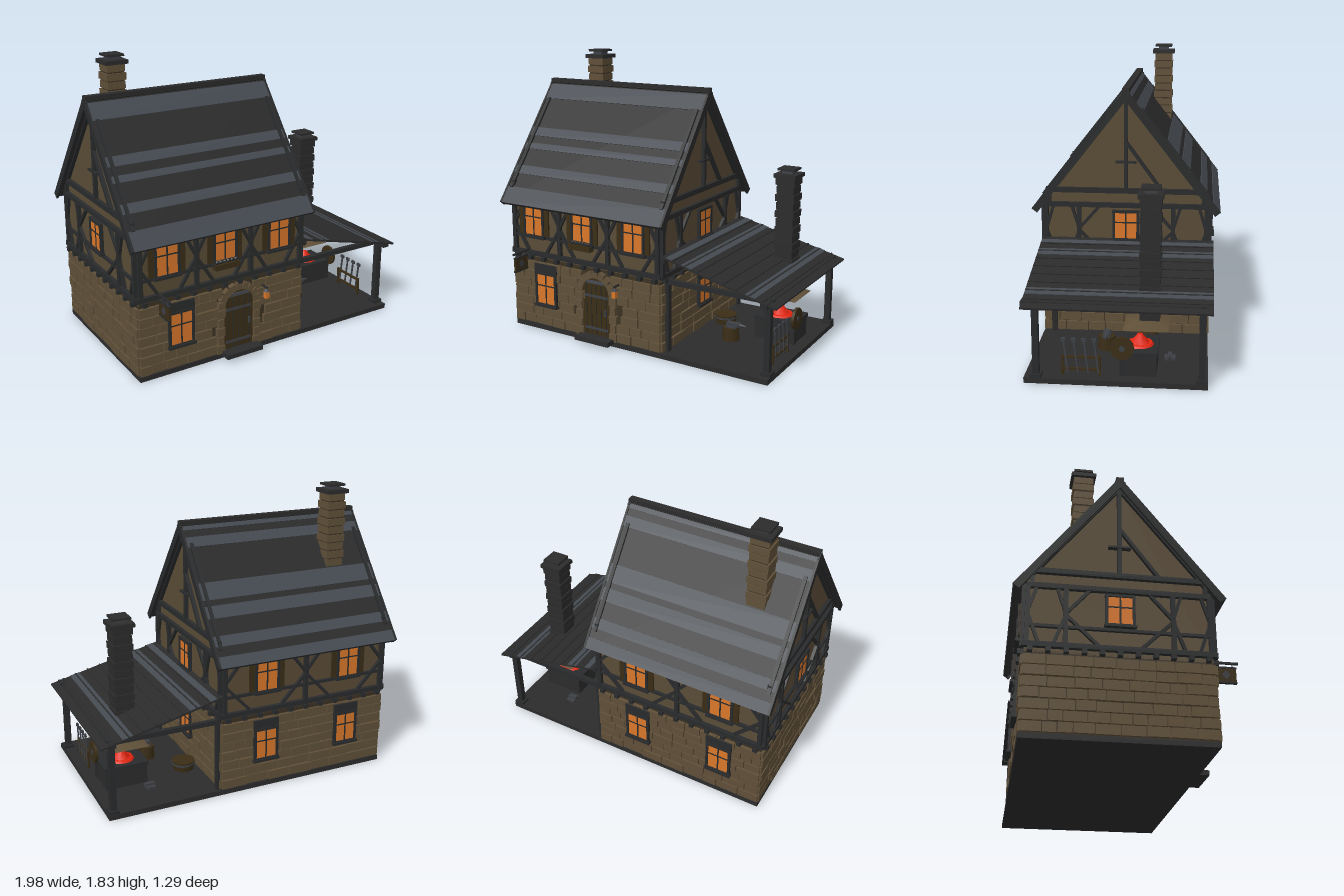
import * as THREE from 'three';

const mat = (name, color) => Object.assign(new THREE.MeshStandardMaterial({ color }), { name });
const M = {
  timber: mat('dark timber', 0x292a2b), slate: mat('dark slate', 0x2b2b2b), light: mat('light slate', 0x454a51),
  stone: mat('stone', 0x5f4f38), mortar: mat('mortar', 0x3b3123), plaster: mat('plaster', 0x594b36),
  wood: mat('brown wood', 0x3a2d16), glow: mat('window glow', 0xd9772a), fire: mat('fire', 0xe0240f),
  iron: mat('iron', 0x3c3f44),
};

let seed = 7;
const rnd = () => (seed = (seed * 16807) % 2147483647) / 2147483647;

function add(g, name, geo, m, x = 0, y = 0, z = 0, rx = 0, ry = 0, rz = 0) {
  const o = new THREE.Mesh(geo, m);
  o.name = name;
  o.position.set(x, y, z);
  o.rotation.set(rx, ry, rz);
  g.add(o);
  return o;
}
const box = (g, name, m, w, h, d, x, y, z, rx, ry, rz) => add(g, name, new THREE.BoxGeometry(w, h, d), m, x, y, z, rx, ry, rz);
const cyl = (g, name, m, r1, r2, h, n, x, y, z, rx, ry, rz) =>
  add(g, name, new THREE.CylinderGeometry(r1, r2, h, n), m, x, y, z, rx, ry, rz);
function group(parent, name, x = 0, y = 0, z = 0) {
  const g = new THREE.Group();
  g.name = name;
  g.position.set(x, y, z);
  parent.add(g);
  return g;
}
// Timber lying on a wall between two points of that wall
const beam = (g, x1, y1, x2, y2, w = 0.024, z = 0.012) =>
  box(g, 'wallTimber', M.timber, Math.hypot(x2 - x1, y2 - y1), w, 0.024, (x1 + x2) / 2, (y1 + y2) / 2, z, 0, 0, Math.atan2(y2 - y1, x2 - x1));

function windowAt(wall, x, y, w, h, lintel, shutters) {
  const g = group(wall, 'window', x, y, 0.02);
  box(g, 'glowingPane', M.glow, w, h, 0.008, 0, 0, 0.002);
  for (const s of [-1, 1]) {
    box(g, 'frameSide', M.timber, 0.016, h + 0.03, 0.022, s * (w / 2 + 0.006), 0, 0.002);
    box(g, 'frameRail', M.timber, w + 0.03, 0.016, 0.024, 0, s * (h / 2 + 0.006), 0.002);
    if (shutters) box(g, 'shutter', M.wood, 0.035, h, 0.012, s * (w / 2 + 0.032), 0, 0);
  }
  box(g, 'mullion', M.timber, 0.009, h, 0.012, 0, 0, 0.003);
  box(g, 'glazingBar', M.timber, w, 0.008, 0.012, 0, h * 0.12, 0.003);
  box(g, 'sill', M.timber, w + 0.04, 0.016, 0.034, 0, -h / 2 - 0.012, 0.006);
  if (lintel) box(g, 'lintel', M.timber, w + 0.035, 0.06, 0.018, 0, h / 2 + 0.04, 0);
}

// One side of the house: local x along the wall, z outwards
function facade(house, name, half, x, z, ry, posts, doorX) {
  const wall = group(house, name, x, 0, z);
  wall.rotation.y = ry;
  for (let row = 0; row < 7; row++) {
    const rowH = 0.063, y = 0.035 + rowH * (row + 0.5);
    let a = -half - 0.008;
    while (a < half) {
      let w = 0.075 + rnd() * 0.085;
      if (half + 0.008 - a - w < 0.05) w = half + 0.008 - a;
      const hitsDoor = doorX !== undefined && Math.abs(a + w / 2 - doorX) < 0.08 + w / 2;
      const d = 0.012 + rnd() * 0.01;
      if (!hitsDoor || y > 0.46) box(wall, 'wallStone', M.stone, w - 0.006, rowH - 0.007, d, a + w / 2, y, d / 2);
      a += w;
    }
  }
  // Jetty beam, joist ends and wall plates
  box(wall, 'jettyBeam', M.timber, 2 * half + 0.03, 0.03, 0.035, 0, 0.53, 0.008);
  for (let i = 0; i <= 10; i++) box(wall, 'joistEnd', M.timber, 0.028, 0.028, 0.04, -half + 0.03 + i * (half - 0.03) / 5, 0.5, 0.014);
  beam(wall, -half, 0.89, half, 0.89, 0.03);
  beam(wall, -half, 0.645, half, 0.645, 0.018, 0.006);
  for (const p of posts) beam(wall, p, 0.54, p, 0.89, 0.026);
  for (let i = 0; i + 1 < posts.length; i++) {
    const [p, q] = [posts[i], posts[i + 1]], s = (q - p) * 0.3;
    beam(wall, p, 0.72, p + s, 0.545, 0.018, 0.008);
    beam(wall, q, 0.72, q - s, 0.545, 0.018, 0.008);
    beam(wall, p, 0.73, p + s * 0.75, 0.885, 0.018, 0.006);
    beam(wall, q, 0.73, q - s * 0.75, 0.885, 0.018, 0.006);
  }
  return wall;
}

function gable(wall) {
  beam(wall, -0.51, 0.985, 0.51, 0.985, 0.032);
  for (const s of [-1, 1]) {
    beam(wall, s * 0.5, 0.95, 0, 1.585, 0.028);
    beam(wall, s * 0.49, 0.9, s * 0.49, 0.98);
  }
  beam(wall, 0, 0.98, 0, 1.57);
  beam(wall, 0, 1.3, 0.22, 1.0, 0.02);
  box(wall, 'ventBar', M.timber, 0.13, 0.012, 0.03, 0, 1.17, 0.015);
}

function chimney(g, name, m, x, z, y0, y1) {
  const c = group(g, name, x, 0, z), n = Math.round((y1 - y0) / 0.054), h = (y1 - y0) / n;
  box(c, 'core', m === M.stone ? M.mortar : M.slate, 0.108, y1 - y0, 0.108, 0, (y0 + y1) / 2, 0);
  for (let i = 0; i < n; i++) {
    const w = i % 2 ? 0.128 : 0.118;
    box(c, 'course', m, w, h - 0.009, w, 0, y0 + (i + 0.5) * h, 0);
  }
  box(c, 'cap', M.slate, 0.15, 0.025, 0.15, 0, y1 + 0.01, 0);
  box(c, 'flue', M.iron, 0.07, 0.03, 0.07, 0, y1 + 0.033, 0);
  box(c, 'topPlate', M.slate, 0.115, 0.014, 0.115, 0, y1 + 0.05, 0);
}

export function createModel() {
  const root = new THREE.Group();
  root.name = 'forgeHouse';
  box(root, 'baseSlab', M.slate, 1.89, 0.032, 1.07, -0.005, 0.016, -0.045);
  box(root, 'doorStep', M.slate, 0.26, 0.03, 0.09, -0.265, 0.04, 0.525);

  // House body
  const house = group(root, 'house');
  box(house, 'stoneCore', M.mortar, 1.14, 0.47, 1.04, -0.37, 0.265, -0.045);
  const s = new THREE.Shape([[-0.52, 0.49], [0.52, 0.49], [0.52, 0.92], [0, 1.59], [-0.52, 0.92]].map(p => new THREE.Vector2(...p)));
  add(house, 'plasterWalls', new THREE.ExtrudeGeometry(s, { depth: 1.14, bevelEnabled: false }), M.plaster, -0.94, 0, -0.045, 0, Math.PI / 2);

  const front = facade(house, 'frontWall', 0.57, -0.37, 0.475, 0, [-0.56, -0.19, 0.19, 0.56], 0.1);
  for (const x of [-0.39, 0, 0.39]) windowAt(front, x, 0.76, 0.14, 0.2, false, true);
  windowAt(front, -0.305, 0.295, 0.145, 0.205, true);
  const back = facade(house, 'backWall', 0.57, -0.37, -0.565, Math.PI, [-0.56, 0, 0.56]);
  for (const x of [-0.28, 0.3]) {
    windowAt(back, x, 0.76, 0.14, 0.2, false, true);
    windowAt(back, x, 0.3, 0.14, 0.19, true);
  }
  const right = facade(house, 'rightWall', 0.52, 0.2, -0.045, Math.PI / 2, [-0.51, -0.3, 0.3, 0.51]);
  windowAt(right, 0, 0.76, 0.14, 0.17);
  windowAt(right, 0, 0.3, 0.14, 0.17, true);
  const left = facade(house, 'leftWall', 0.52, -0.94, -0.045, -Math.PI / 2, [-0.51, -0.3, 0.3, 0.51]);
  windowAt(left, 0, 0.76, 0.14, 0.17);
  [right, left].forEach(gable);

  // Arched door with stone surround
  const door = group(front, 'door', 0.1, 0, 0);
  const ds = new THREE.Shape();
  ds.moveTo(-0.105, 0.05);
  ds.lineTo(0.105, 0.05);
  ds.absarc(0, 0.34, 0.105, 0, Math.PI);
  add(door, 'doorLeaf', new THREE.ExtrudeGeometry(ds, { depth: 0.018, bevelEnabled: false, curveSegments: 12 }), M.wood);
  for (let i = -2; i <= 2; i++) box(door, 'plankGap', M.timber, 0.004, 0.34, 0.004, i * 0.038, 0.23, 0.019);
  for (const y of [0.1, 0.32]) box(door, 'strapHinge', M.iron, 0.18, 0.016, 0.006, 0, y, 0.02);
  box(door, 'transom', M.light, 0.14, 0.02, 0.01, 0, 0.415, 0.02);
  box(door, 'handle', M.iron, 0.012, 0.04, 0.016, 0.075, 0.22, 0.024);
  for (let i = 0; i < 9; i++) {
    const a = (i + 0.5) * Math.PI / 9;
    box(door, 'archStone', M.stone, 0.045, 0.04, 0.032, 0.127 * Math.cos(a), 0.34 + 0.127 * Math.sin(a), 0.016, 0, 0, a);
  }
  for (const k of [-1, 1]) for (let i = 0; i < 5; i++) box(door, 'jambStone', M.stone, i % 2 ? 0.04 : 0.055, 0.054, 0.03, k * 0.13, 0.065 + i * 0.06, 0.015);

  // Flower box under the middle window
  box(front, 'flowerBox', M.wood, 0.17, 0.035, 0.045, 0, 0.638, 0.04);
  for (let i = 0; i < 6; i++) add(front, 'plant', new THREE.IcosahedronGeometry(0.016, 0), M.timber, -0.065 + i * 0.026, 0.665, 0.04);

  // Main roof: dark slope with lighter bands, measured as fractions down from the ridge
  const L = 0.965, pitch = Math.atan2(0.76, 0.595);
  const bands = [
    [[0.04, 0.16], [0.4, 0.467], [0.526, 0.572], [0.705, 0.77], [0.875, 1]],
    [[0.03, 0.06], [0.11, 0.18], [0.43, 0.55], [0.59, 0.675], [0.79, 0.86], [0.925, 1]],
  ];
  bands.forEach((list, i) => {
    const r = group(root, i ? 'backRoof' : 'frontRoof', -0.372, 1.625, -0.045);
    r.rotation.set(pitch, i * Math.PI, 0, 'YXZ');
    box(r, 'slope', M.slate, 1.24, 0.026, L, 0, -0.015, L / 2);
    for (const [a, b] of list) box(r, 'lightCourse', M.light, 1.238, 0.006, (b - a) * L, 0, 0, (a + b) / 2 * L);
    for (const k of [-1, 1]) {
      box(r, 'vergeBoard', M.timber, 0.014, 0.045, L, k * 0.621, -0.018, L / 2);
      box(r, 'roofBatten', M.timber, 0.022, 0.016, 0.7, k * 0.585, 0.004, 0.5);
    }
  });
  box(root, 'ridgeCap', M.slate, 1.25, 0.025, 0.045, -0.372, 1.622, -0.045);
  chimney(root, 'houseChimney', M.stone, -0.725, -0.235, 1.3, 1.775);

  // Hanging sign
  const sign = group(root, 'hangingSign', -0.82, 0, 0.575);
  box(sign, 'arm', M.timber, 0.012, 0.012, 0.16, 0, 0.55, -0.005);
  box(sign, 'board', M.wood, 0.014, 0.09, 0.12, 0, 0.475, 0);
  for (const y of [0.43, 0.52]) box(sign, 'rim', M.timber, 0.018, 0.01, 0.125, 0, y, 0);
  for (const z of [-0.04, 0.04]) box(sign, 'hanger', M.iron, 0.006, 0.03, 0.006, 0, 0.535, z);
  box(sign, 'diamond', M.iron, 0.02, 0.038, 0.038, 0, 0.475, 0, Math.PI / 4);

  // Lantern by the door
  const lamp = group(root, 'lantern', -0.095, 0, 0.54);
  box(lamp, 'arm', M.timber, 0.01, 0.01, 0.08, 0, 0.43, -0.03);
  box(lamp, 'glass', M.glow, 0.026, 0.045, 0.026, 0, 0.382, 0);
  cyl(lamp, 'hat', M.iron, 0.006, 0.025, 0.018, 4, 0, 0.413, 0, 0, Math.PI / 4);

  // Lean-to over the forge
  const shed = group(root, 'leanTo');
  const roof = group(shed, 'leanToRoof', 0.212, 0.672, -0.055);
  roof.rotation.z = -Math.atan2(0.19, 0.77);
  box(roof, 'slope', M.slate, 0.795, 0.012, 1.095, 0.3975, -0.006, 0);
  for (const [a, b] of [[0.04, 0.09], [0.15, 0.22], [0.59, 0.655]]) box(roof, 'lightCourse', M.light, b - a, 0.005, 1.093, (a + b) / 2, 0.001, 0);
  for (let i = 1; i < 9; i++) box(roof, 'courseEdge', M.slate, 0.01, 0.008, 1.093, i * 0.088, 0.002, 0);
  for (const z of [0.42, -0.545]) {
    box(shed, 'post', M.timber, 0.038, 0.45, 0.038, 0.906, 0.255, z);
    box(shed, 'postFoot', M.timber, 0.065, 0.025, 0.065, 0.906, 0.04, z);
    box(shed, 'wallPost', M.timber, 0.026, 0.46, 0.036, 0.224, 0.26, z);
    box(shed, 'tieBeam', M.timber, 0.73, 0.03, 0.03, 0.572, 0.49, z);
  }
  box(shed, 'eaveBeam', M.timber, 0.045, 0.032, 1.09, 0.908, 0.483, -0.045);
  box(shed, 'ledger', M.timber, 0.03, 0.03, 1.07, 0.225, 0.64, -0.045);

  // Forge, coals, hood and flue
  const forge = group(shed, 'forge', 0.725, 0, -0.175);
  box(forge, 'hearth', M.slate, 0.27, 0.13, 0.21, 0, 0.095, 0);
  box(forge, 'hearthRim', M.timber, 0.285, 0.022, 0.225, 0, 0.168, 0);
  cyl(forge, 'coalBed', M.fire, 0.075, 0.085, 0.012, 10, 0, 0.184, 0);
  cyl(forge, 'flame', M.fire, 0.015, 0.06, 0.055, 7, 0, 0.215, 0);
  cyl(forge, 'hood', M.stone, 0.09, 0.187, 0.035, 4, 0, 0.328, -0.04, 0, Math.PI / 4);
  chimney(shed, 'forgeChimney', M.slate, 0.725, -0.235, 0.345, 1.085);

  // Grindstone beside the hearth
  cyl(shed, 'grindstone', M.wood, 0.07, 0.07, 0.018, 16, 0.874, 0.21, -0.08, 0, 0, Math.PI / 2);
  cyl(shed, 'grindstoneHub', M.iron, 0.018, 0.018, 0.024, 8, 0.874, 0.21, -0.08, 0, 0, Math.PI / 2);
  box(shed, 'grindstoneStand', M.timber, 0.014, 0.17, 0.03, 0.86, 0.115, -0.08);

  // Tool rack
  const rack = group(shed, 'toolRack', 0.872, 0, 0.16);
  for (const y of [0.07, 0.145]) box(rack, 'rail', M.wood, 0.012, 0.014, 0.23, 0, y, 0);
  for (const z of [-0.11, 0.11]) box(rack, 'leg', M.wood, 0.014, 0.13, 0.014, 0, 0.09, z);
  for (let i = 0; i < 4; i++) {
    const z = 0.09 - i * 0.06;
    box(rack, 'toolShaft', M.iron, 0.008, 0.21, 0.01, 0.006, 0.155, z, 0.12);
    box(rack, 'toolHead', M.iron, 0.012, 0.02, 0.028, 0.006, 0.255, z + 0.012, 0.12);
  }

  // Anvil on a stump
  const anvil = group(shed, 'anvil', 0.475, 0, 0.05);
  cyl(anvil, 'stump', M.wood, 0.052, 0.058, 0.085, 10, 0, 0.073, 0);
  box(anvil, 'foot', M.iron, 0.07, 0.012, 0.05, 0.01, 0.12, 0);
  box(anvil, 'body', M.iron, 0.09, 0.02, 0.04, 0.02, 0.138, 0);
  cyl(anvil, 'horn', M.iron, 0.004, 0.015, 0.05, 8, 0.085, 0.136, 0, 0, 0, -Math.PI / 2);

  // Quench tub and ingots
  cyl(shed, 'quenchTub', M.wood, 0.075, 0.068, 0.06, 12, 0.31, 0.062, -0.2);
  cyl(shed, 'tubHoop', M.iron, 0.077, 0.077, 0.012, 12, 0.31, 0.075, -0.2);
  for (let i = 0; i < 3; i++) box(shed, 'ingot', M.iron, 0.06, 0.016, 0.026, 0.6, 0.04 + (i === 2 ? 0.016 : 0), -0.33 - (i === 2 ? 0.02 : i * 0.04));
  return root;
}
